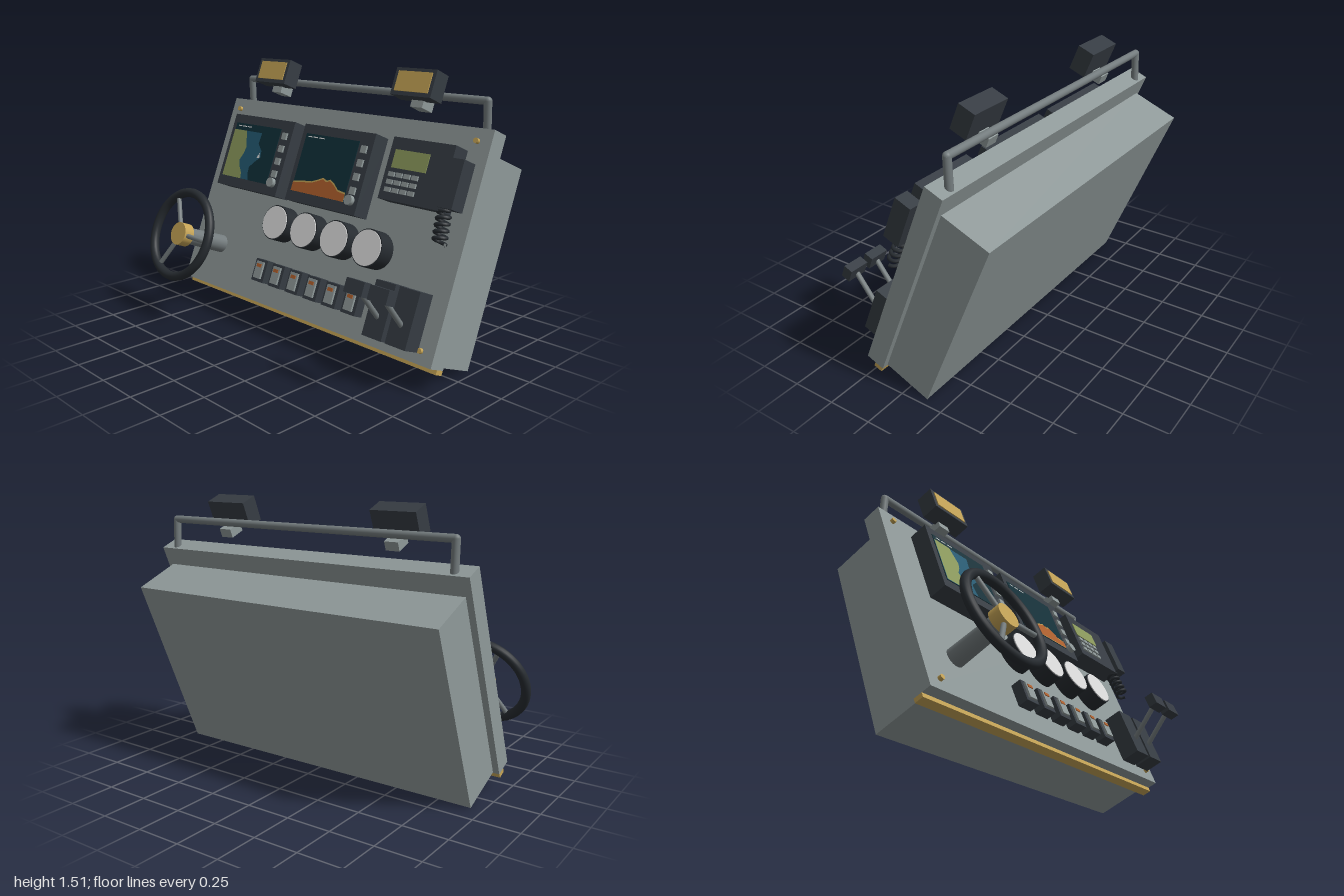
import * as THREE from 'three';

const color = (name, hex) => {
  const m = new THREE.MeshStandardMaterial({ color: hex });
  m.name = name;
  return m;
};

export function createModel() {
  const M = {
    grey: color('panelGrey', 0x8f9999),
    metal: color('railMetal', 0x737b7d),
    dark: color('housingDark', 0x363c43),
    black: color('rubberBlack', 0x262b30),
    teal: color('screenTeal', 0x0f2f38),
    blue: color('chartBlue', 0x235a72),
    olive: color('chartOlive', 0x8c9a5c),
    orange: color('sonarOrange', 0xb0602c),
    white: color('dialWhite', 0xdcdcdc),
    gold: color('brassGold', 0xc4a355),
  };

  // Everything lives in the tilted panel frame: x across, y up the panel, z out of it
  const root = new THREE.Group();
  root.name = 'helmConsole';
  const panel = new THREE.Group();
  panel.name = 'tiltedPanel';
  const tilt = THREE.MathUtils.degToRad(22);
  panel.rotation.x = -tilt;
  panel.position.set(0, 0.14, 0.225);
  root.add(panel);

  const add = (name, geo, mat, parent = panel) => {
    const m = new THREE.Mesh(geo, mat);
    m.name = name;
    parent.add(m);
    return m;
  };
  const box = (name, mat, x0, x1, y0, y1, z0, z1) => {
    const m = add(name, new THREE.BoxGeometry(x1 - x0, y1 - y0, z1 - z0), mat);
    m.position.set((x0 + x1) / 2, (y0 + y1) / 2, (z0 + z1) / 2);
    return m;
  };
  // Cylinder whose axis points out of the panel
  const disc = (name, mat, x, y, r, z0, z1, seg = 32, rBack = r) => {
    const m = add(name, new THREE.CylinderGeometry(r, rBack, z1 - z0, seg), mat);
    m.rotation.x = Math.PI / 2;
    m.position.set(x, y, (z0 + z1) / 2);
    return m;
  };
  const rod = (name, mat, a, b, r, seg = 12) => {
    const p = new THREE.Vector3(...a), d = new THREE.Vector3(...b).sub(p);
    const m = add(name, new THREE.CylinderGeometry(r, r, d.length(), seg), mat);
    m.quaternion.setFromUnitVectors(new THREE.Vector3(0, 1, 0), d.clone().normalize());
    m.position.copy(p).addScaledVector(d, 0.5);
    return m;
  };
  const plate = (name, mat, pts, z) => {
    const shape = new THREE.Shape(pts.map((p) => new THREE.Vector2(...p)));
    add(name, new THREE.ShapeGeometry(shape), mat).position.z = z;
  };

  // Front plate, rear housing, brass trim and corner screws
  box('frontPlate', M.grey, -0.97, 0.997, 0, 1.185, -0.107, 0);
  box('rearHousing', M.grey, -0.935, 0.962, 0.005, 1.078, -0.385, -0.107);
  box('brassTrim', M.gold, -0.97, 0.997, -0.025, 0, -0.105, -0.055);
  for (const x of [-0.89, 0.917])
    for (const y of [0.066, 1.118]) disc('cornerScrew', M.gold, x, y, 0.014, 0, 0.02, 12);

  // Two displays with buttons and a knob
  const F = 0.115;
  for (const x of [-0.78, -0.16]) {
    box('displayHousing', M.dark, x, x + 0.535, 0.617, 1.062, 0.012, F);
    box('displayScreen', M.teal, x + 0.033, x + 0.438, 0.674, 1.009, F, F + 0.003);
    for (let i = 0; i < 4; i++) {
      const y = 0.969 - i * 0.0755;
      box('displayButton', M.grey, x + 0.465, x + 0.503, y - 0.02, y + 0.02, F, F + 0.012);
    }
    disc('displayKnob', M.grey, x + 0.484, 0.69, 0.027, F, F + 0.025, 20);
    [0, 0.04, 0.085].forEach((dx, i) =>
      box('statusBar', M.white, x + 0.055 + dx, x + 0.085 + dx + i * 0.005, 0.989, 0.995, F + 0.003, F + 0.005));
  }

  // Chart on the left-hand display
  const land = [[-0.575, 0.674], [-0.582, 0.71], [-0.615, 0.75], [-0.628, 0.785],
    [-0.605, 0.83], [-0.597, 0.87], [-0.615, 0.915], [-0.634, 0.966]];
  const shoal = [[-0.51, 0.674], [-0.525, 0.72], [-0.528, 0.752], [-0.495, 0.785],
    [-0.452, 0.82], [-0.458, 0.86], [-0.5, 0.9], [-0.495, 0.966]];
  plate('chartShallows', M.blue, [[-0.747, 0.674], ...shoal, [-0.747, 0.966]], F + 0.005);
  plate('chartLand', M.olive, [[-0.747, 0.674], ...land, [-0.747, 0.966]], F + 0.007);
  plate('boatMarker', M.white, [[-0.482, 0.815], [-0.455, 0.815], [-0.462, 0.847]], F + 0.009);

  // Sonar trace on the right-hand display
  const bed = [[0.278, 0.715], [0.22, 0.722], [0.185, 0.75], [0.15, 0.768], [0.125, 0.758],
    [0.095, 0.77], [0.06, 0.755], [0.015, 0.738], [-0.05, 0.732], [-0.127, 0.722]];
  plate('sonarEcho', M.gold, [[-0.127, 0.674], [0.278, 0.674], ...bed.map(([x, y]) => [x, y + 0.009])], F + 0.005);
  plate('sonarSeabed', M.orange, [[-0.127, 0.674], [0.278, 0.674], ...bed], F + 0.007);

  // Radio with keypad, handset and coiled cord
  box('radioHousing', M.dark, 0.497, 0.885, 0.735, 1.062, 0.012, F);
  box('radioScreen', M.olive, 0.532, 0.752, 0.902, 0.998, F, F + 0.004);
  for (let r = 0; r < 3; r++)
    for (let c = 0; c < 4; c++) {
      const x = 0.549 + c * 0.05, y = 0.868 - r * 0.04;
      box('radioKey', M.grey, x - 0.019, x + 0.019, y - 0.012, y + 0.012, F, F + 0.01);
    }
  box('handset', M.dark, 0.885, 0.97, 0.752, 0.996, 0.045, 0.14);
  const coil = [];
  for (let i = 0; i <= 60; i++) {
    const t = i / 60, a = t * 5 * Math.PI * 2;
    coil.push(new THREE.Vector3(0.89 + 0.02 * t + 0.032 * Math.cos(a), 0.75 - 0.165 * t, 0.078 + 0.03 * Math.sin(a)));
  }
  add('coiledCord', new THREE.TubeGeometry(new THREE.CatmullRomCurve3(coil), 120, 0.01, 6), M.black);

  // Row of gauges
  for (let i = 0; i < 4; i++) {
    const x = -0.195 + i * 0.234;
    disc('gaugeBody', M.black, x, 0.475, 0.1, 0.012, 0.106, 40);
    disc('gaugeFace', M.white, x, 0.475, 0.094, 0.106, 0.111, 40);
  }

  // Rocker switches
  for (let i = 0; i < 6; i++) {
    const x = -0.254 + i * 0.1435;
    box('switchBase', M.dark, x - 0.049, x + 0.049, 0.12, 0.249, 0.005, 0.065);
    box('switchRocker', M.grey, x - 0.029, x + 0.029, 0.138, 0.236, 0.065, 0.077);
    box('switchLamp', M.orange, x - 0.018, x + 0.018, 0.203, 0.222, 0.077, 0.081);
  }

  // Twin throttles
  for (const x of [0.697, 0.848]) {
    box('throttleBase', M.dark, x - 0.063, x + 0.063, 0.054, 0.34, 0.015, 0.12);
    rod('throttleLever', M.metal, [x, 0.16, 0.11], [x, 0.28, 0.32], 0.014);
    box('throttleGrip', M.dark, x - 0.058, x + 0.058, 0.245, 0.317, 0.295, 0.348);
  }

  // Steering wheel on its column
  const wx = -0.72, wy = 0.259, wz = 0.32;
  disc('steeringColumn', M.metal, wx, wy, 0.048, 0, 0.29, 24, 0.054);
  disc('wheelHub', M.gold, wx, wy, 0.068, 0.28, 0.345, 28);
  add('wheelRim', new THREE.TorusGeometry(0.253, 0.027, 14, 56), M.black).position.set(wx, wy, wz);
  for (let i = 0; i < 3; i++) {
    const a = (i * 2 * Math.PI) / 3;
    rod('wheelSpoke', M.metal, [wx, wy, wz], [wx + 0.25 * Math.cos(a), wy + 0.25 * Math.sin(a), wz], 0.014);
  }

  // Top rail
  const ry = 1.325, rz = -0.009, ends = [-0.878, 0.908];
  rod('topRail', M.metal, [ends[0], ry, rz], [ends[1], ry, rz], 0.021, 16);
  for (const x of ends) {
    rod('railPost', M.metal, [x, 1.16, -0.083], [x, ry, rz], 0.021, 16);
    add('railElbow', new THREE.SphereGeometry(0.021, 16, 10), M.metal).position.set(x, ry, rz);
  }

  // Flood lamps
  for (const x of [-0.525, 0.55]) {
    box('lampBracket', M.grey, x - 0.039, x + 0.039, 1.235, 1.285, -0.015, 0.075);
    box('lampHousing', M.dark, x - 0.13, x + 0.13, 1.272, 1.418, 0.048, 0.148);
    box('lampLens', M.gold, x - 0.109, x + 0.109, 1.293, 1.4, 0.148, 0.153);
  }

  return root;
}
